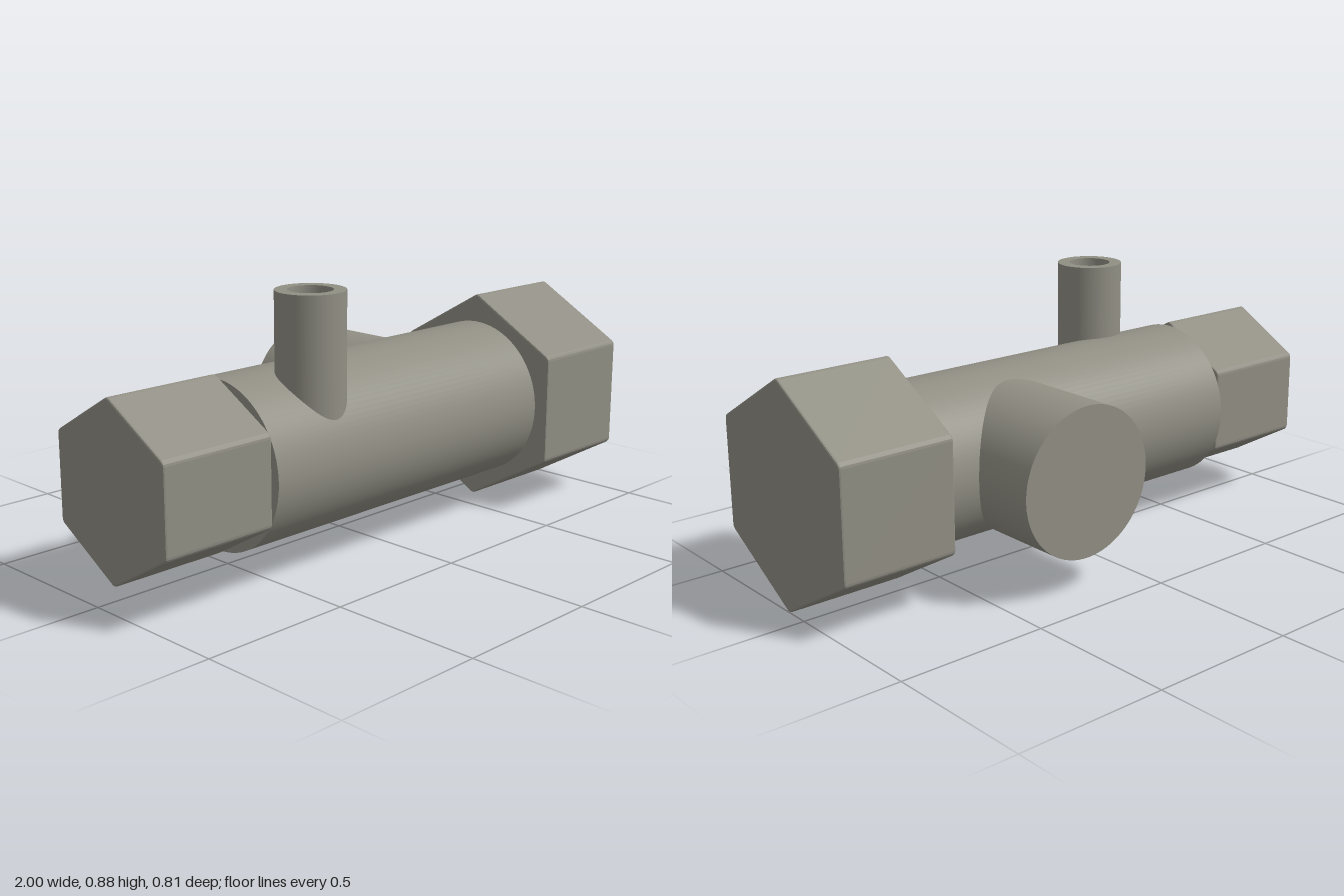
import * as THREE from 'three';

const AXIS_Y = 0.367, AXIS_Z = 0.086;

export function createModel() {
  const group = new THREE.Group();
  const metal = new THREE.MeshStandardMaterial({ color: 0x918f84 });
  metal.name = 'dull grey metal';

  const add = (name, geometry, x, y, z) => {
    const mesh = new THREE.Mesh(geometry, metal);
    mesh.name = name;
    mesh.position.set(x, y, z);
    group.add(mesh);
    return mesh;
  };

  // Hexagonal nut along x, a corner pointing up, with slightly eased edges
  const hexNut = (radius, length) => {
    const ease = 0.006, soft = 0.012;
    const corners = Array.from({ length: 6 }, (_, i) => {
      const a = Math.PI / 2 + (i * Math.PI) / 3;
      return new THREE.Vector2(Math.cos(a), Math.sin(a)).multiplyScalar(radius + 0.002);
    });
    const shape = new THREE.Shape();
    corners.forEach((c, i) => {
      const before = corners[(i + 5) % 6], after = corners[(i + 1) % 6];
      const p = c.clone().lerp(before, soft / radius);
      const q = c.clone().lerp(after, soft / radius);
      if (i === 0) shape.moveTo(p.x, p.y);
      else shape.lineTo(p.x, p.y);
      shape.quadraticCurveTo(c.x, c.y, q.x, q.y);
    });
    shape.closePath();
    const geometry = new THREE.ExtrudeGeometry(shape, {
      depth: length - 2 * ease, curveSegments: 3,
      bevelThickness: ease, bevelSize: ease, bevelOffset: -ease, bevelSegments: 2,
    });
    return geometry.translate(0, 0, ease - length / 2).rotateY(Math.PI / 2);
  };

  // Main barrel
  add('barrel', new THREE.CylinderGeometry(0.27, 0.27, 1.21, 96).rotateZ(Math.PI / 2), 0, AXIS_Y, AXIS_Z);

  // End nuts
  add('largeNut', hexNut(0.367, 0.395), 0.8025, AXIS_Y, AXIS_Z);
  add('smallNut', hexNut(0.281, 0.395), -0.8025, AXIS_Y + 0.002, AXIS_Z - 0.003);

  // Closed rear branch, running from the barrel axis to the back
  const back = -0.406;
  add('rearBranch', new THREE.CylinderGeometry(0.245, 0.245, AXIS_Z - back, 96).rotateX(Math.PI / 2),
    0.23, AXIS_Y, (AXIS_Z + back) / 2);

  // Upright spout with a blind bore: wall, rim and bore keep sharp edges
  const top = 0.885, floor = 0.64, outer = 0.11, bore = 0.07;
  const spout = new THREE.Group();
  spout.name = 'spout';
  spout.position.set(-0.333, 0, 0.21);
  const lathe = (name, points) => {
    const mesh = new THREE.Mesh(
      new THREE.LatheGeometry(points.map(([r, y]) => new THREE.Vector2(r, y)), 64), metal);
    mesh.name = name;
    spout.add(mesh);
  };
  lathe('spoutWall', [[outer, AXIS_Y], [outer, top]]);
  lathe('spoutRim', [[outer, top], [bore, top]]);
  lathe('spoutBore', [[bore, top], [bore, floor]]);
  lathe('spoutFloor', [[bore, floor], [0, floor]]);
  group.add(spout);

  return group;
}
